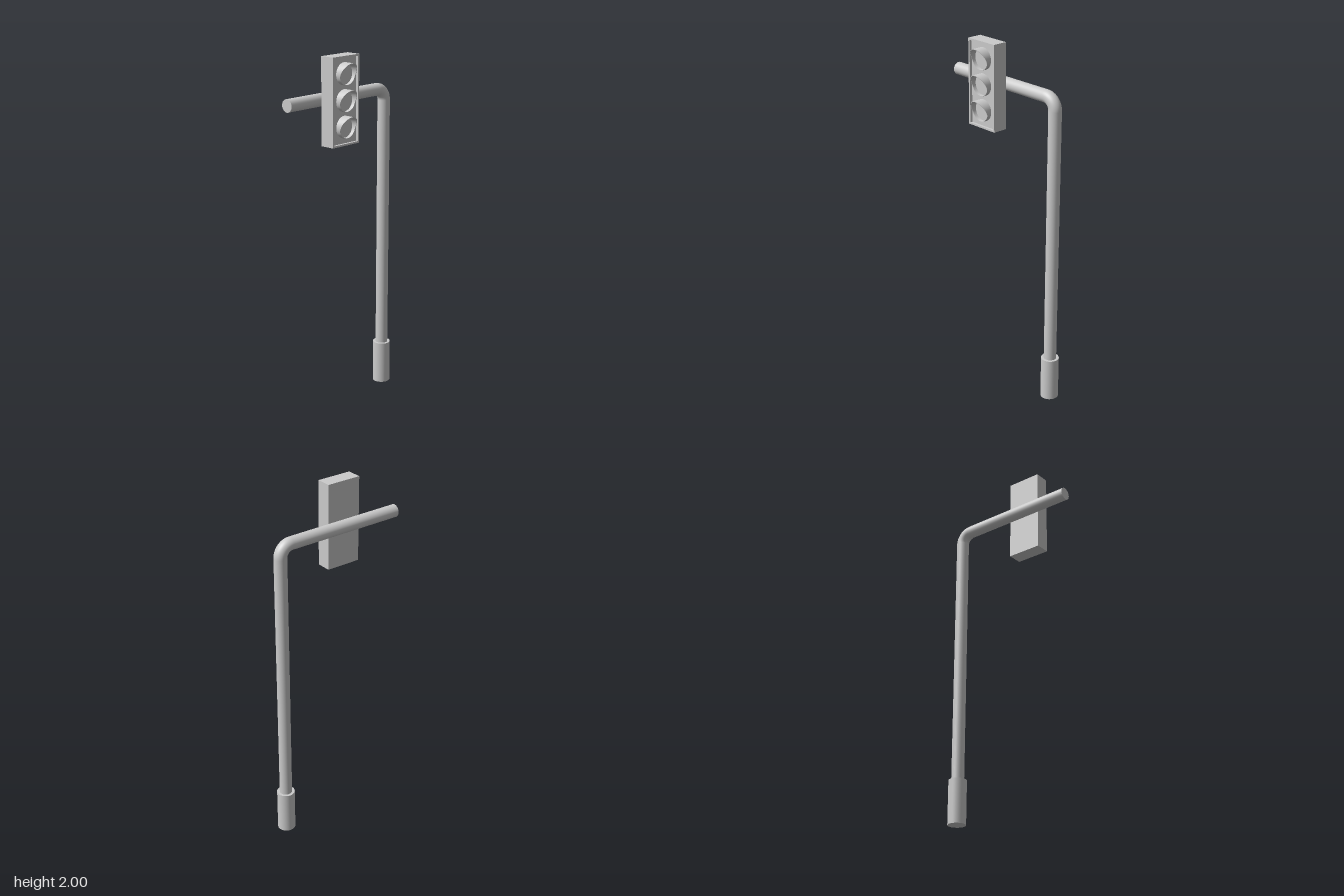
import * as THREE from 'three';

const grey = new THREE.MeshStandardMaterial({ color: 0xcccccc });
const greyDouble = new THREE.MeshStandardMaterial({ color: 0xcccccc, side: THREE.DoubleSide });

const POLE_X = 0.347, POLE_Z = -0.058, POLE_R = 0.035;
const ARM_Y = 1.765, BEND_R = 0.065;
const HEAD_X = -0.083, HEAD_Y = 1.7625, HEAD_W = 0.2, HEAD_H = 0.475;
const BACK_Z = -0.024, FLOOR_Z = 0.045, FRONT_Z = 0.06;

function addMesh(parent, name, geometry, x, y, z, material = grey) {
  const mesh = new THREE.Mesh(geometry, material);
  mesh.name = name;
  mesh.position.set(x, y, z);
  parent.add(mesh);
  return mesh;
}

function rectangle(target, w, h) {
  target.moveTo(-w / 2, -h / 2);
  target.lineTo(w / 2, -h / 2);
  target.lineTo(w / 2, h / 2);
  target.lineTo(-w / 2, h / 2);
  target.closePath();
  return target;
}

// Short tube whose front edge sweeps forward towards the top
function visorGeometry(outer, inner, shortLength, longLength) {
  const geometry = new THREE.LatheGeometry([
    new THREE.Vector2(outer, 0), new THREE.Vector2(outer, 1),
    new THREE.Vector2(outer, 1), new THREE.Vector2(inner, 1),
    new THREE.Vector2(inner, 1), new THREE.Vector2(inner, 0),
  ], 48);
  geometry.rotateX(Math.PI / 2);
  const p = geometry.attributes.position;
  for (let i = 0; i < p.count; i++) {
    const s = p.getY(i) / Math.hypot(p.getX(i), p.getY(i));
    const t = Math.max(0, (s + 0.3) / 1.3);
    p.setZ(i, p.getZ(i) * (shortLength + (longLength - shortLength) * t ** 1.3));
  }
  geometry.computeVertexNormals();
  return geometry;
}

export function createModel() {
  const model = new THREE.Group();
  model.name = 'trafficLight';

  // Base sleeve, upright, bend and arm
  addMesh(model, 'base', new THREE.CylinderGeometry(0.05, 0.05, 0.247, 32), POLE_X, 0.1235, POLE_Z);
  const bendY = ARM_Y - BEND_R, bendX = POLE_X - BEND_R;
  const poleLength = bendY - 0.2;
  addMesh(model, 'pole', new THREE.CylinderGeometry(POLE_R, POLE_R, poleLength, 32),
    POLE_X, 0.2 + poleLength / 2, POLE_Z);
  addMesh(model, 'bend', new THREE.TorusGeometry(BEND_R, POLE_R, 32, 16, Math.PI / 2), bendX, bendY, POLE_Z);
  const armLength = bendX + 0.4;
  const arm = addMesh(model, 'arm', new THREE.CylinderGeometry(POLE_R, POLE_R, armLength, 32),
    bendX - armLength / 2, ARM_Y, POLE_Z);
  arm.rotation.z = Math.PI / 2;

  // Signal head: box with a raised rim round the front
  const head = new THREE.Group();
  head.name = 'signalHead';
  head.position.set(HEAD_X, HEAD_Y, 0);
  model.add(head);
  addMesh(head, 'housing', new THREE.BoxGeometry(HEAD_W, HEAD_H, FLOOR_Z - BACK_Z),
    0, 0, (FLOOR_Z + BACK_Z) / 2);
  const rim = rectangle(new THREE.Shape(), HEAD_W, HEAD_H);
  rim.holes.push(rectangle(new THREE.Path(), HEAD_W - 0.02, HEAD_H - 0.02));
  addMesh(head, 'rim', new THREE.ExtrudeGeometry(rim, { depth: FRONT_Z - FLOOR_Z, bevelEnabled: false }),
    0, 0, FLOOR_Z);

  // Three lamps, each with a lens and a visor
  const visor = visorGeometry(0.06, 0.057, 0.07 - FLOOR_Z, 0.106 - FLOOR_Z);
  const lens = new THREE.CylinderGeometry(0.057, 0.057, 0.004, 48).rotateX(Math.PI / 2);
  for (const y of [0.141, 0, -0.141]) {
    const lamp = new THREE.Group();
    lamp.name = 'lamp';
    lamp.position.set(0, y + 0.002, FLOOR_Z);
    addMesh(lamp, 'lens', lens, 0, 0, 0.002);
    addMesh(lamp, 'visor', visor, 0, 0, 0, greyDouble);
    head.add(lamp);
  }
  return model;
}
